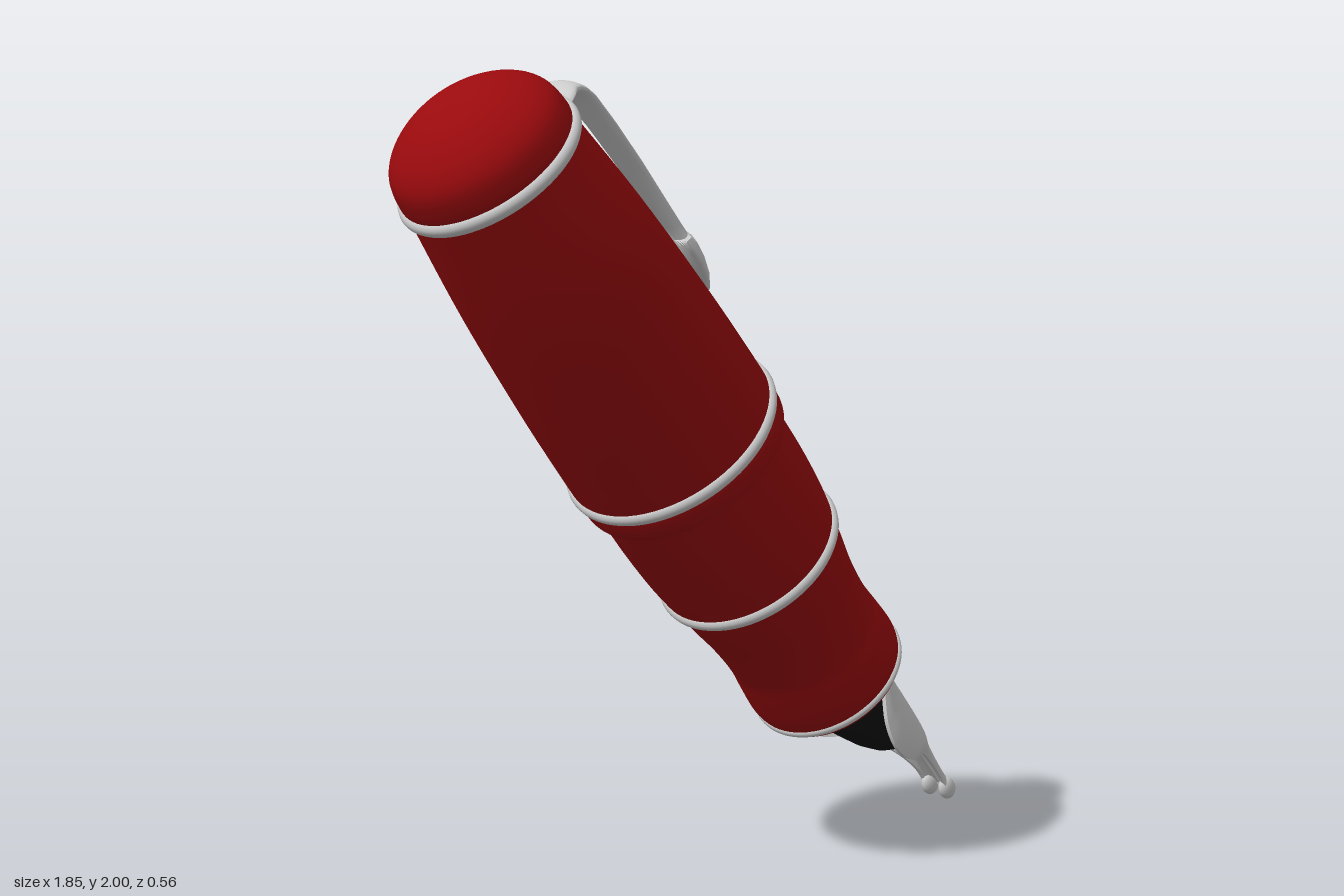
import * as THREE from 'three';
import { toCreasedNormals } from 'three/addons/utils/BufferGeometryUtils.js';

const red = new THREE.MeshStandardMaterial({ color: 0x990a0d });
const redOpen = new THREE.MeshStandardMaterial({ color: 0x990a0d, side: THREE.DoubleSide });
const black = new THREE.MeshStandardMaterial({ color: 0x111111 });
const silver = new THREE.MeshStandardMaterial({ color: 0xcccccc });
const silverThin = new THREE.MeshStandardMaterial({ color: 0xcccccc, side: THREE.DoubleSide });

// Skin a list of closed cross-sections (arrays of [x, y, z]) and cap both ends
function loft(sections, crease = 0.9) {
  const n = sections[0].length, index = [];
  for (let i = 0; i < sections.length - 1; i++) {
    for (let j = 0; j < n; j++) {
      const a = i * n + j, b = i * n + (j + 1) % n;
      index.push(a, b, a + n, b, b + n, a + n);
    }
  }
  const last = (sections.length - 1) * n;
  for (let j = 1; j < n - 1; j++) index.push(0, j + 1, j, last, last + j, last + j + 1);
  const g = new THREE.BufferGeometry();
  g.setAttribute('position', new THREE.Float32BufferAttribute(sections.flat(2), 3));
  g.setIndex(index);
  return toCreasedNormals(g, crease);
}

// Elliptical section between an outer and inner point; edges may droop and sweep back
function oval([ox, oy, ix, iy, w, droop = 0, sweep = 0]) {
  const pts = [];
  for (let j = 0; j < 28; j++) {
    const t = j / 28 * Math.PI * 2, c = Math.cos(t), s = Math.sin(t);
    pts.push([
      (ox + ix) / 2 + (ox - ix) / 2 * c - droop * s * s,
      (oy + iy) / 2 + (oy - iy) / 2 * c + sweep * s * s,
      w * s,
    ]);
  }
  return pts;
}

// Half-width of the nib opening at height y: breather hole plus slit
function opening(y) {
  const k = (y + 0.183) / 0.031;
  const hole = Math.abs(k) < 1 ? 0.063 * Math.sqrt(1 - k * k) : 0;
  return Math.max(hole, y < -0.183 ? 0.012 : 0);
}

// One half of the arched nib plate; side is +1 or -1 along z
function nibHalf(side) {
  const edge = new THREE.CatmullRomCurve3([
    [0.03, 0.06, 0.135], [-0.026, 0.03, 0.152], [-0.107, -0.044, 0.176], [-0.18, -0.066, 0.185],
    [-0.276, -0.03, 0.165], [-0.335, 0.026, 0.128], [-0.423, 0.069, 0.075],
    [-0.54, 0.092, 0.044], [-0.62, 0.088, 0.043],
  ].map(p => new THREE.Vector3(...p)));
  const top = 0.125, thick = 0.012, rows = 140, n = 12, sections = [];
  for (let i = 0; i <= rows; i++) {
    const { x: y, y: re, z: ze } = edge.getPoint(i / rows);
    const t0 = Math.asin(Math.min(opening(y) / ze, 0.95));
    const arc = inset => Array.from({ length: n + 1 }, (_, j) => {
      const t = t0 + (Math.PI / 2 - t0) * j / n;
      return [re + (top - re - inset) * Math.cos(t), y, side * (ze - inset) * Math.sin(t)];
    });
    const ring = [...arc(0), ...arc(thick).reverse()];
    sections.push(side > 0 ? ring : ring.reverse());
  }
  return loft(sections, 0.7);
}

export function createModel() {
  const root = new THREE.Group();
  root.name = 'fountainPen';
  // Pen is built upright around local y, then leaned over
  const pen = new THREE.Group();
  pen.name = 'pen';
  pen.position.set(0.425, 0.44, 0);
  pen.rotation.z = THREE.MathUtils.degToRad(40);
  root.add(pen);

  const add = (name, geometry, material) => {
    const m = new THREE.Mesh(geometry, material);
    m.name = name;
    pen.add(m);
    return m;
  };
  // Turned part: smooth curve through [radius, height] points, bottom to top
  const turned = (name, profile, divisions = 32) => {
    const curve = new THREE.SplineCurve(profile.map(p => new THREE.Vector2(...p)));
    const pts = curve.getPoints(divisions);
    pts.forEach(p => { p.x = Math.max(p.x, 0); });
    return add(name, new THREE.LatheGeometry(pts, 72), redOpen);
  };

  // Cap with domed end
  turned('capDome', [[0.212, 1.78], [0.215, 1.81], [0.202, 1.865], [0.16, 1.908], [0.09, 1.94], [0, 1.952]]);
  turned('cap', [[0.27, 0.9], [0.268, 1.0], [0.261, 1.2], [0.242, 1.5], [0.212, 1.78]]);
  turned('capLip', [[0.245, 0.832], [0.262, 0.834], [0.27, 0.85], [0.27, 0.88], [0.266, 0.91]]);

  // Barrel and waisted grip
  turned('barrel', [[0.235, 0.48], [0.246, 0.58], [0.251, 0.7], [0.25, 0.85]]);
  turned('grip', [[0.203, 0.01], [0.211, 0.05], [0.207, 0.12], [0.201, 0.2], [0.207, 0.3], [0.222, 0.4], [0.232, 0.49]]);
  const end = add('gripEnd', new THREE.CylinderGeometry(0.2, 0.194, 0.03, 72), red);
  end.position.y = 0.002;

  // Trim rings: height, radius, tube radius
  [
    ['capTopRing', 1.782, 0.209, 0.018],
    ['capBandRing', 0.911, 0.262, 0.018],
    ['barrelRing', 0.486, 0.229, 0.018],
    ['gripRing', 0.012, 0.198, 0.013],
  ].forEach(([name, y, r, tube]) => {
    const ring = add(name, new THREE.TorusGeometry(r, tube, 14, 80), silver);
    ring.rotation.x = Math.PI / 2;
    ring.position.y = y;
  });

  // Clip with arrow-shaped end
  add('clip', loft([
    [0.19, 1.79, 0.19, 1.76, 0.095],
    [0.235, 1.795, 0.225, 1.762, 0.088],
    [0.262, 1.788, 0.247, 1.757, 0.072],
    [0.283, 1.773, 0.262, 1.748, 0.062],
    [0.3, 1.75, 0.274, 1.733, 0.057],
    [0.313, 1.715, 0.283, 1.708, 0.053],
    [0.326, 1.62, 0.293, 1.617, 0.047],
    [0.335, 1.495, 0.3, 1.495, 0.042],
    [0.341, 1.3, 0.305, 1.3, 0.035],
    [0.343, 1.265, 0.303, 1.265, 0.042, 0.006],
    [0.343, 1.25, 0.297, 1.25, 0.094, 0.045, 0.045],
    [0.343, 1.23, 0.293, 1.23, 0.1, 0.045, 0.035],
    [0.341, 1.19, 0.29, 1.19, 0.086, 0.032, 0.025],
    [0.335, 1.14, 0.29, 1.14, 0.055, 0.015, 0.01],
    [0.32, 1.103, 0.29, 1.103, 0.024],
    [0.308, 1.089, 0.297, 1.089, 0.006],
  ].map(oval)), silver);

  // Ink feed under the nib
  add('feed', loft([
    [0.1, 0.01, -0.1, 0.01, 0.13],
    [0.1, -0.09, -0.09, -0.09, 0.125],
    [0.1, -0.18, -0.07, -0.18, 0.11],
    [0.1, -0.26, -0.038, -0.26, 0.085],
    [0.1, -0.32, -0.004, -0.32, 0.055],
    [0.098, -0.36, 0.03, -0.36, 0.032],
    [0.09, -0.378, 0.06, -0.378, 0.015],
  ].map(oval)), black);

  // Split nib with rounded tips
  for (const side of [1, -1]) {
    const label = side > 0 ? 'Left' : 'Right';
    add('nib' + label, nibHalf(side), silverThin);
    const tip = add('nibTip' + label, new THREE.SphereGeometry(1, 20, 14), silver);
    tip.position.set(0.098, -0.613, side * 0.03);
    tip.scale.set(0.028, 0.034, 0.018);
  }
  return root;
}
